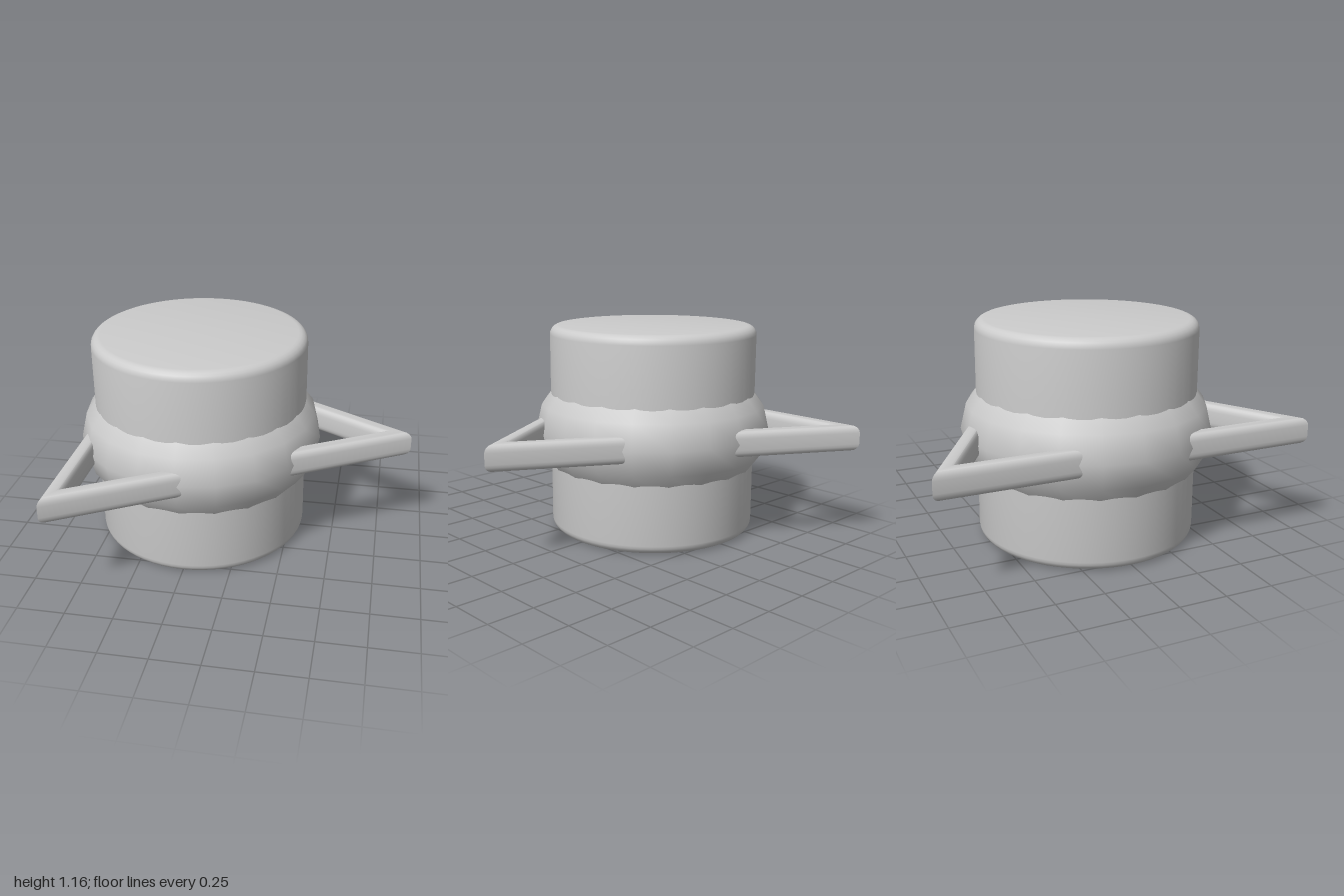
import * as THREE from 'three';
import { toCreasedNormals } from 'three/addons/utils/BufferGeometryUtils.js';

const MID_Y = 0.578;

// Elliptical quarter-round corner points from angle a0 (counterclockwise)
function corner(cx, cy, rx, ry, a0, steps = 5) {
  return Array.from({ length: steps + 1 }, (_, i) => {
    const a = a0 + (i / steps) * Math.PI / 2;
    return new THREE.Vector2(cx + rx * Math.cos(a), cy + ry * Math.sin(a));
  });
}

export function createModel() {
  const model = new THREE.Group();
  const material = new THREE.MeshStandardMaterial({ color: 0xcccccc });

  function add(name, geometry, y) {
    const mesh = new THREE.Mesh(geometry, material);
    mesh.name = name;
    mesh.position.set(-0.25, y, 0);
    model.add(mesh);
    return mesh;
  }

  // Drum with rounded rims
  const R = 0.575, H = 1.156, b = 0.05;
  const drumProfile = [
    new THREE.Vector2(0, 0),
    ...corner(R - b, b, b, b, -Math.PI / 2),
    ...corner(R - b, H - b, b, b, 0),
    new THREE.Vector2(0, H),
  ];
  add('drum', toCreasedNormals(new THREE.LatheGeometry(drumProfile, 64), 0.6), 0);

  // Bulging belly: a flattened sphere around the drum
  const belly = new THREE.SphereGeometry(0.66, 20, 10);
  belly.scale(1, 0.67, 1);
  add('belly', belly, MID_Y);

  // Triangular handle ring: rounded section turned in three straight bars
  const inner = 0.985, outer = 1.152, h = 0.07, rx = 0.05, ry = 0.04;
  const section = [
    ...corner(outer - rx, -h + ry, rx, ry, -Math.PI / 2, 4),
    ...corner(outer - rx, h - ry, rx, ry, 0, 4),
    ...corner(inner + rx, h - ry, rx, ry, Math.PI / 2, 4),
    ...corner(inner + rx, -h + ry, rx, ry, Math.PI, 4),
  ];
  section.push(section[0].clone());
  const ring = toCreasedNormals(new THREE.LatheGeometry(section, 3), 0.8);
  add('handleRing', ring, MID_Y).rotation.y = Math.PI / 2;

  return model;
}
